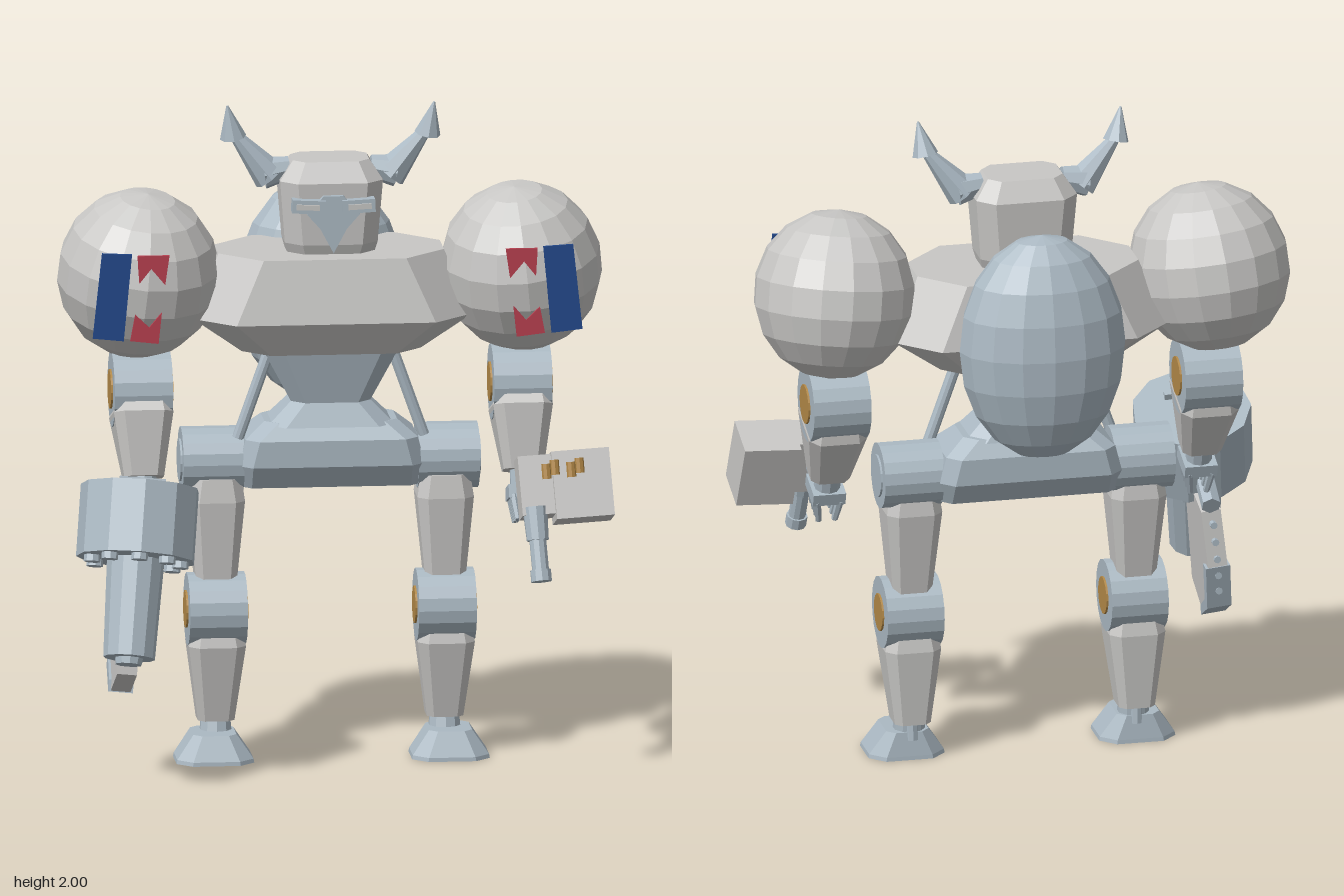
import * as THREE from 'three';

const paint = (name, color) => { const m = new THREE.MeshStandardMaterial({ color }); m.name = name; return m; };
const armour = paint('armour grey', 0xc8c7c5);
const steel = paint('blue steel', 0xabb9c3);
const gold = paint('brass', 0xb48a48);
const blue = paint('blue', 0x23498c);
const red = paint('red', 0xb84050);

// Adds a faceted mesh
function add(parent, name, geo, mat, pos = [0, 0, 0], rot = [0, 0, 0]) {
  const flat = geo.index ? geo.toNonIndexed() : geo;
  flat.computeVertexNormals();
  const m = new THREE.Mesh(flat, mat);
  m.name = name;
  m.position.set(...pos);
  m.rotation.set(...rot);
  parent.add(m);
  return m;
}

function group(parent, name, pos = [0, 0, 0], rot = [0, 0, 0]) {
  const g = new THREE.Group();
  g.name = name;
  g.position.set(...pos);
  g.rotation.set(...rot);
  parent.add(g);
  return g;
}

// Stacked chamfered rectangles, bottom to top: [y, halfX, halfZ, chamfer, centreZ]
function loft(rings) {
  const v = [], f = [];
  rings.forEach(([y, a, b, c, cz = 0]) => {
    const pts = [[a, -b + c], [a, b - c], [a - c, b], [-a + c, b], [-a, b - c], [-a, -b + c], [-a + c, -b], [a - c, -b]];
    pts.forEach(([x, z]) => v.push(x, y, z + cz));
  });
  for (let r = 0; r < rings.length - 1; r++) {
    for (let k = 0; k < 8; k++) {
      const a = r * 8 + k, b = r * 8 + (k + 1) % 8;
      f.push(a, a + 8, b, b, a + 8, b + 8);
    }
  }
  const t = (rings.length - 1) * 8;
  for (let k = 1; k < 7; k++) f.push(0, k, k + 1, t, t + k + 1, t + k);
  const g = new THREE.BufferGeometry();
  g.setAttribute('position', new THREE.Float32BufferAttribute(v, 3));
  g.setIndex(f);
  return g;
}

// Tapered cylinder between two points
function rod(parent, name, from, to, r1, r2, mat = steel, sides = 10) {
  const a = new THREE.Vector3(...from), b = new THREE.Vector3(...to);
  const d = b.clone().sub(a);
  const m = add(parent, name, new THREE.CylinderGeometry(r2, r1, d.length(), sides), mat);
  m.position.copy(a).add(b).multiplyScalar(0.5);
  m.quaternion.setFromUnitVectors(new THREE.Vector3(0, 1, 0), d.normalize());
  return m;
}

const box = (x, y, z) => new THREE.BoxGeometry(x, y, z);

function extrude(points, depth) {
  const shape = new THREE.Shape(points.map(([x, y]) => new THREE.Vector2(x, y)));
  return new THREE.ExtrudeGeometry(shape, { depth, bevelEnabled: false });
}

// Round joint along x with a disc on each end
function joint(parent, name, [x, y, z], r, half, discR, discMat) {
  rod(parent, name, [x - half, y, z], [x + half, y, z], r, r, steel, 18);
  rod(parent, name + 'Disc', [x - half - 0.006, y, z], [x + half + 0.006, y, z], discR, discR, discMat, 16);
}

function buildTorso(root) {
  add(root, 'chest', loft([[1.25, 0.27, 0.15, 0.08, -0.1], [1.36, 0.42, 0.232, 0.12, -0.1], [1.55, 0.34, 0.19, 0.125, -0.1]]), armour);
  add(root, 'waist', loft([[1.02, 0.19, 0.12, 0.05, -0.1], [1.09, 0.12, 0.09, 0.04, -0.1], [1.26, 0.21, 0.13, 0.06, -0.1]]), steel);
  add(root, 'pelvis', loft([[0.83, 0.27, 0.09, 0.03, -0.11], [0.9, 0.28, 0.135, 0.04, -0.11],
    [0.98, 0.26, 0.135, 0.04, -0.11], [1.03, 0.2, 0.1, 0.04, -0.11]]), steel);
  add(root, 'backPod', new THREE.SphereGeometry(1, 16, 10).scale(0.255, 0.35, 0.177), steel, [0, 1.37, -0.362], [0.03, 0, 0]);
  for (const s of [-1, 1]) rod(root, 'waistPiston', [s * 0.28, 0.98, -0.05], [s * 0.17, 1.29, -0.05], 0.018, 0.018);
}

function buildHead(root) {
  const head = group(root, 'head');
  add(head, 'helmet', loft([[1.54, 0.13, 0.09, 0.05, -0.085], [1.58, 0.14, 0.105, 0.05, -0.085],
    [1.77, 0.155, 0.115, 0.05, -0.085], [1.83, 0.115, 0.08, 0.035, -0.085]]), armour);
  add(head, 'beak', extrude([[-0.08, 1.68], [-0.04, 1.635], [0, 1.56], [0.04, 1.635], [0.08, 1.68], [0.03, 1.735], [-0.03, 1.735]], 0.035), steel, [0, 0, 0.01]);
  for (const s of [-1, 1]) {
    add(head, 'eyeFrame', box(0.1, 0.04, 0.045), steel, [s * 0.075, 1.705, 0.035], [0, 0, s * 0.05]);
    add(head, 'eyeLens', box(0.07, 0.016, 0.008), armour, [s * 0.078, 1.705, 0.06], [0, 0, s * 0.05]);
    rod(head, 'hornBase', [s * 0.12, 1.8, -0.08], [s * 0.2, 1.785, -0.08], 0.035, 0.05, steel, 8);
    rod(head, 'hornStem', [s * 0.18, 1.775, -0.08], [s * 0.29, 1.91, -0.07], 0.052, 0.017, steel, 8);
    rod(head, 'hornTip', [s * 0.293, 1.9, -0.065], [s * 0.312, 2.0, -0.048], 0.04, 0.003, steel, 8);
  }
}

function buildShoulder(root, s) {
  const g = group(root, s > 0 ? 'leftShoulder' : 'rightShoulder', [s * 0.577, 1.485, -0.083]);
  add(g, 'shoulderSphere', new THREE.SphereGeometry(1, 16, 9).scale(0.245, 0.257, 0.262), armour, [0, 0, 0], [0.18, 0, s * 0.1]);
  // Painted badge plates
  const z = 0.245;
  const at = pts => pts.map(([x, y]) => [s * x - s * 0.577, y - 1.485]);
  add(g, 'bluePlate', extrude(at([[0.62, 1.595], [0.71, 1.6], [0.738, 1.34], [0.645, 1.33]]), 0.009), blue, [0, 0, z]);
  add(g, 'upperRedPlate', extrude(at([[0.507, 1.59], [0.603, 1.59], [0.598, 1.505], [0.562, 1.55], [0.52, 1.5]]), 0.009), red, [0, 0, z]);
  add(g, 'lowerRedPlate', extrude(at([[0.53, 1.415], [0.568, 1.37], [0.61, 1.41], [0.625, 1.33], [0.54, 1.32]]), 0.009), red, [0, 0, z]);
}

function buildArm(root, s) {
  const arm = group(root, s > 0 ? 'leftArm' : 'rightArm', [s * 0.572, 1.135, -0.065]);
  joint(arm, 'elbow', [0, 0, 0], 0.115, 0.088, 0.06, gold);
  const fore = group(arm, 'forearm', [0, 0, 0], [-0.33, 0, 0]);
  add(fore, 'forearmArmour', loft([[-0.27, 0.06, 0.055, 0.022], [-0.08, 0.09, 0.11, 0.03], [0, 0.07, 0.085, 0.02]]), armour);
  rod(fore, 'wrist', [0, -0.26, 0], [0, -0.33, 0], 0.04, 0.04);
  add(fore, 'palm', box(0.1, 0.04, 0.11), steel, [0, -0.34, 0.01]);
  for (let i = 0; i < 4; i++) {
    for (const x of [-0.035, 0.035]) rod(fore, 'finger', [x, -0.35, -0.035 + i * 0.03], [x * 0.7, -0.425, -0.03 + i * 0.03], 0.013, 0.01, steel, 6);
  }
}

function buildLeg(root, s) {
  const leg = group(root, s > 0 ? 'leftLeg' : 'rightLeg', [s * 0.345, 0, 0]);
  joint(leg, 'hip', [s * 0.01, 0.905, -0.105], 0.1, 0.092, 0.065, steel);
  add(leg, 'thigh', loft([[0.53, 0.06, 0.06, 0.02, -0.08], [0.79, 0.085, 0.09, 0.03, -0.09], [0.86, 0.075, 0.08, 0.03, -0.09]]), armour);
  joint(leg, 'knee', [0, 0.455, -0.065], 0.11, 0.087, 0.057, gold);
  add(leg, 'shin', loft([[0.115, 0.055, 0.058, 0.02, -0.088], [0.35, 0.086, 0.092, 0.03, -0.07], [0.42, 0.07, 0.075, 0.025, -0.07]]), armour);
  rod(leg, 'ankle', [0, 0.07, -0.07], [0, 0.13, -0.08], 0.05, 0.045);
  rod(leg, 'heelPiston', [0, 0.06, -0.115], [0, 0.13, -0.11], 0.018, 0.018, steel, 8);
  add(leg, 'foot', loft([[0, 0.117, 0.103, 0.045, -0.027], [0.012, 0.115, 0.102, 0.045, -0.027], [0.085, 0.065, 0.08, 0.025, -0.04]]), steel, [s * 0.01, 0, 0]);
}

function buildCannon(root) {
  const gun = group(root, 'cannon', [-0.605, 0.905, 0.28], [-0.35, 0, -0.1]);
  rod(gun, 'drum', [0, -0.22, 0], [0, 0, 0], 0.18, 0.18, steel, 11);
  rod(gun, 'barrel', [0, -0.52, 0], [0, -0.21, 0], 0.078, 0.087, steel, 12);
  rod(gun, 'muzzle', [0, -0.54, 0], [0, -0.51, 0], 0.04, 0.045, steel, 10);
  for (let i = 0; i < 9; i++) {
    const a = i / 9 * Math.PI * 2, x = Math.sin(a) * 0.135, z = Math.cos(a) * 0.135;
    rod(gun, 'drumBolt', [x, -0.24, z], [x, -0.21, z], 0.025, 0.025, steel, 8);
  }
  add(gun, 'drumSlot', box(0.14, 0.02, 0.016), steel, [0, 0.01, 0.06]);
  add(gun, 'drumRail', box(0.035, 0.03, 0.15), steel, [0.005, 0.012, -0.06]);
  rod(root, 'cannonGrip', [-0.58, 0.8, 0.05], [-0.595, 0.86, 0.22], 0.025, 0.025);

  // Curved magazine behind the barrel
  const mag = group(root, 'magazine', [-0.64, 0.47, 0], [0, 0, -0.1]);
  const side = (name, pts, depth, mat) =>
    add(mag, name, extrude(pts.map(([z, y]) => [z, y - 0.47]), depth).rotateY(-Math.PI / 2), mat, [depth / 2, 0, 0]);
  side('magazinePlate', [[0.095, 0.64], [0.24, 0.69], [0.31, 0.62], [0.35, 0.345], [0.23, 0.268], [0.12, 0.325], [0.078, 0.465]], 0.06, armour);
  side('magazineRim', [[0.075, 0.465], [0.12, 0.322], [0.23, 0.265], [0.222, 0.3], [0.145, 0.345], [0.112, 0.47]], 0.075, steel);
  for (let i = 0; i < 5; i++) {
    const y = 0.13 - i * 0.055, z = 0.082 + Math.max(0, 0.3 * -y);
    rod(mag, 'magazineStud', [0, y, z - 0.012], [0, y, z + 0.03], 0.011, 0.011, steel, 8);
  }
  rod(root, 'magazineGrip', [-0.62, 0.66, 0.08], [-0.625, 0.73, 0.23], 0.03, 0.03, steel, 6);
}

function buildPistol(root) {
  const gun = group(root, 'pistol', [0.66, 0.86, 0.2], [-0.33, 0, 0.06]);
  add(gun, 'ammoBox', box(0.175, 0.205, 0.15), armour, [0.07, 0, 0]);
  add(gun, 'receiver', box(0.1, 0.18, 0.12), armour, [-0.07, 0.005, 0.02]);
  rod(gun, 'barrelSleeve', [-0.08, -0.16, 0.06], [-0.08, -0.06, 0.06], 0.034, 0.038);
  rod(gun, 'pistolBarrel', [-0.08, -0.25, 0.06], [-0.08, -0.15, 0.06], 0.026, 0.026);
  rod(gun, 'pistolMuzzle', [-0.08, -0.285, 0.06], [-0.08, -0.25, 0.06], 0.032, 0.032);
  // Brass cartridges on the front
  for (const x of [-0.025, 0.05]) {
    for (const d of [-0.013, 0.013]) {
      rod(gun, 'cartridge', [x + d, 0.025 + d * 0.4, 0.085], [x + d, 0.07 + d * 0.4, 0.09], 0.014, 0.014, gold, 8);
    }
  }
  rod(root, 'pistolGrip', [0.575, 0.8, 0.05], [0.585, 0.86, 0.17], 0.025, 0.025);
}

export function createModel() {
  const root = new THREE.Group();
  root.name = 'walkingRobot';
  buildTorso(root);
  buildHead(root);
  for (const s of [-1, 1]) {
    buildShoulder(root, s);
    buildArm(root, s);
    buildLeg(root, s);
  }
  buildCannon(root);
  buildPistol(root);
  return root;
}
